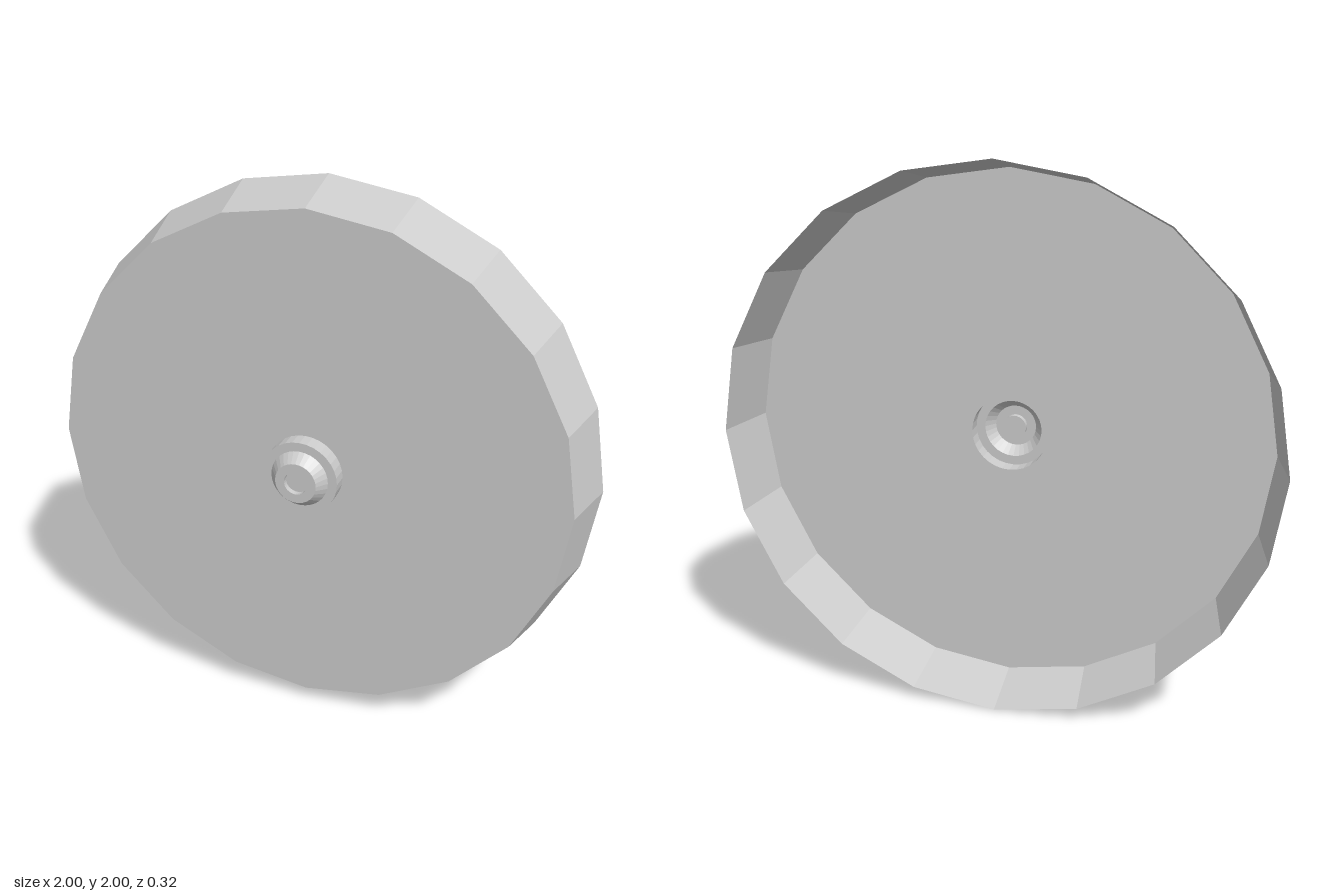
import * as THREE from 'three';

const material = new THREE.MeshStandardMaterial({
  color: 0xcccccc, flatShading: true, side: THREE.DoubleSide,
});

const RIM_SIDES = 20, HUB_SIDES = 32;
const FACE_RADIUS = 0.945, HUB_RADIUS = 0.138;
const BACK_Z = -0.16, FACE_Z = 0.062;

// Regular polygon in the xy plane with a corner on +x
function polygon(radius, sides) {
  return Array.from({ length: sides }, (_, i) => {
    const a = (i / sides) * Math.PI * 2;
    return new THREE.Vector2(Math.cos(a) * radius, Math.sin(a) * radius);
  });
}

// Faceted open shell turned around the z axis; profile is [radius, z]
function turned(name, profile, sides) {
  const points = profile.map(([r, z]) => new THREE.Vector2(r, z));
  const geometry = new THREE.LatheGeometry(points, sides).rotateX(Math.PI / 2).toNonIndexed();
  geometry.computeVertexNormals();
  const mesh = new THREE.Mesh(geometry, material);
  mesh.name = name;
  return mesh;
}

export function createModel() {
  const group = new THREE.Group();
  group.name = 'wheelCover';

  // Flared rim, open at the back
  group.add(turned('rim', [[1, BACK_Z], [FACE_RADIUS, FACE_Z]], RIM_SIDES));

  // Flat face with an opening behind the hub
  const shape = new THREE.Shape(polygon(FACE_RADIUS, RIM_SIDES));
  shape.holes.push(new THREE.Path(polygon(HUB_RADIUS, HUB_SIDES).reverse()));
  const face = new THREE.Mesh(new THREE.ShapeGeometry(shape), material);
  face.name = 'face';
  face.position.z = FACE_Z;
  group.add(face);

  // Hollow stepped hub with a small recess in its tip
  group.add(turned('hub', [
    [HUB_RADIUS, FACE_Z], [HUB_RADIUS, 0.12], [0.105, 0.12],
    [0.075, 0.16], [0.042, 0.16], [0.042, 0.14], [0, 0.14],
  ], HUB_SIDES));

  // Stand on the ground
  group.position.y = 1;
  return group;
}
